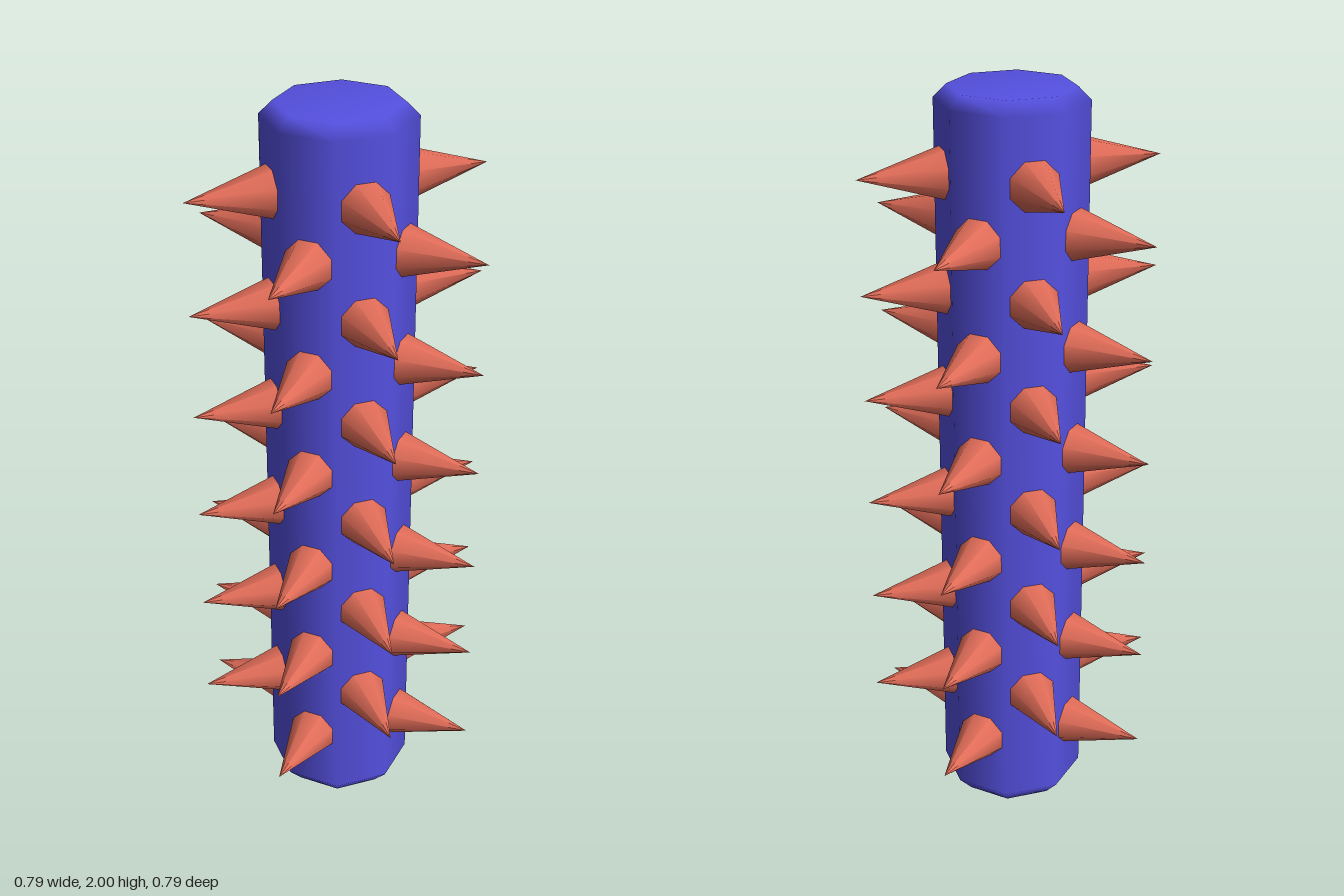
import * as THREE from 'three';

export function createModel() {
  const model = new THREE.Group();
  const blue = new THREE.MeshStandardMaterial({ color: 0x5550e0 });
  const red = new THREE.MeshStandardMaterial({ color: 0xe06c58 });

  // Eight-sided post with bevelled ends, flat faces toward the axes
  const profile = [[0, 0], [0.152, 0], [0.193, 0.045], [0.193, 1.967], [0.16, 2], [0, 2]]
    .map(([r, y]) => new THREE.Vector2(r, y));
  const post = new THREE.Mesh(new THREE.LatheGeometry(profile, 8, Math.PI / 8), blue);
  post.name = 'post';
  model.add(post);

  // Spike pointing along +z, its base sunk slightly into the post
  const tip = 0.393, base = 0.165, length = tip - base;
  const spikeGeometry = new THREE.ConeGeometry(0.07, length, 8)
    .rotateY(Math.PI / 8)
    .rotateX(Math.PI / 2)
    .translate(0, 0, base + length / 2);

  // Rings of four spikes, alternately on the straight and the diagonal faces
  const straight = [0.37, 0.648, 0.929, 1.22, 1.502, 1.798];
  const diagonal = [0.225, 0.5, 0.783, 1.07, 1.354, 1.651];
  const addRing = (y, turn) => {
    const ring = new THREE.Group();
    ring.name = 'spikeRing';
    ring.position.y = y;
    for (let i = 0; i < 4; i++) {
      const spike = new THREE.Mesh(spikeGeometry, red);
      spike.name = 'spike';
      spike.rotation.y = turn + i * Math.PI / 2;
      ring.add(spike);
    }
    model.add(ring);
  };
  straight.forEach((y) => addRing(y, 0));
  diagonal.forEach((y) => addRing(y, Math.PI / 4));

  return model;
}
